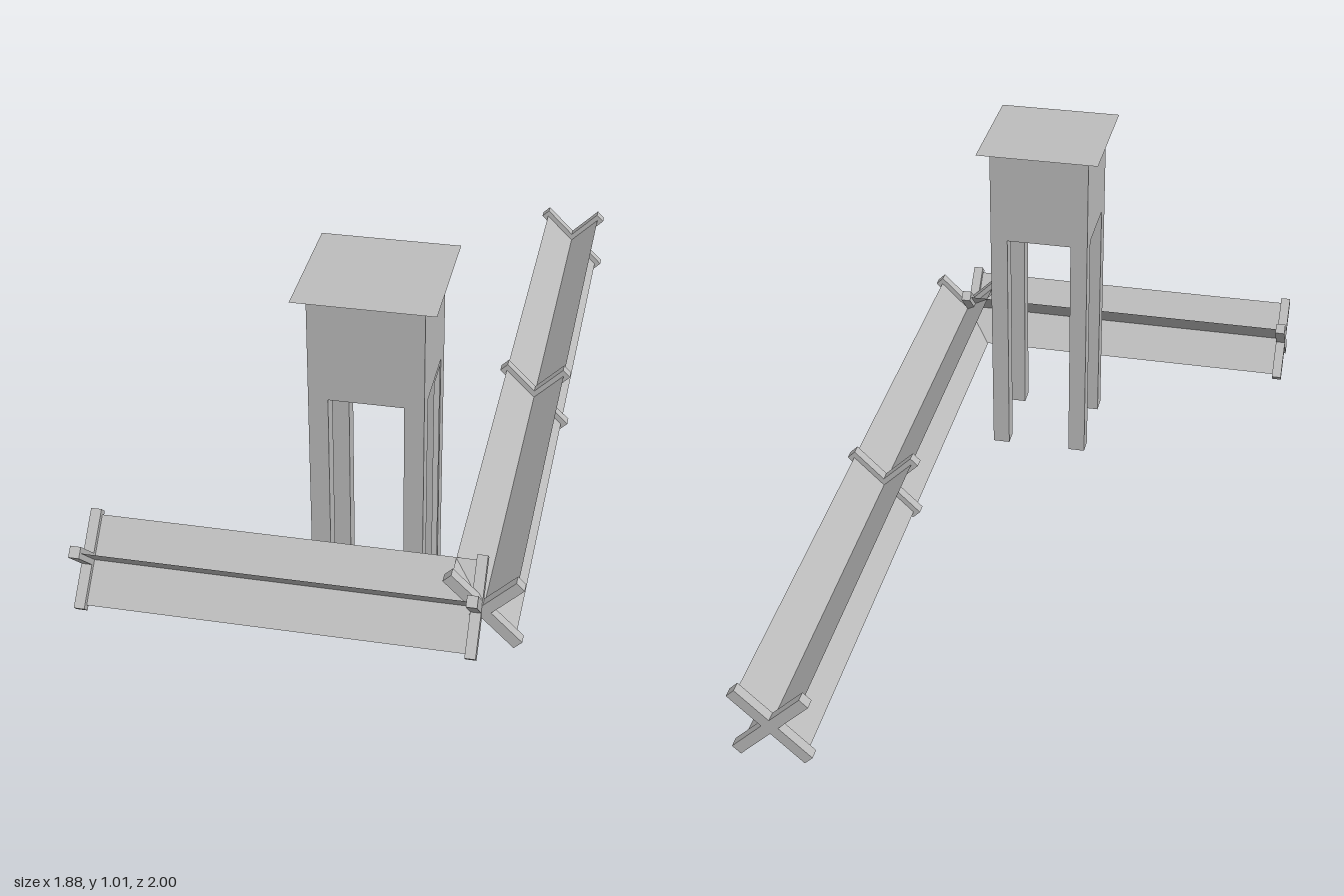
import * as THREE from 'three';

const grey = new THREE.MeshStandardMaterial({ color: 0xbdbdbd, side: THREE.DoubleSide });
grey.name = 'weathered grey';

function add(parent, name, geometry, x = 0, y = 0, z = 0) {
  const mesh = new THREE.Mesh(geometry, grey);
  mesh.name = name;
  mesh.position.set(x, y, z);
  parent.add(mesh);
  return mesh;
}

// Barrier of two crossed sheets held by crossed bars, running from a to b
function barrier(name, a, b, sections) {
  const group = new THREE.Group();
  group.name = name;
  group.position.copy(a);
  group.lookAt(b);
  const length = a.distanceTo(b);
  for (const tilt of [Math.PI / 4, -Math.PI / 4]) {
    const sheet = new THREE.PlaneGeometry(0.236, length).rotateX(-Math.PI / 2).rotateZ(tilt);
    add(group, 'crossedSheet', sheet, 0, 0, length / 2);
    for (let i = 0; i <= sections; i++) {
      const bar = new THREE.BoxGeometry(0.26, 0.03, 0.028).rotateZ(tilt);
      add(group, 'crossBar', bar, 0, 0, (length * i) / sections);
    }
  }
  return group;
}

// Raised cabin on four legs with a flat overhanging roof
function watchtower() {
  const tower = new THREE.Group();
  tower.name = 'watchtower';
  tower.position.set(-0.137, 0, 0.528);
  tower.rotation.y = -0.398;
  add(tower, 'cabin', new THREE.BoxGeometry(0.29, 0.283, 0.29), 0, 0.8615, 0);
  add(tower, 'roof', new THREE.PlaneGeometry(0.356, 0.356).rotateX(-Math.PI / 2), 0, 1.006, 0);
  for (const x of [-0.12, 0.12]) {
    for (const z of [-0.12, 0.12]) {
      add(tower, 'leg', new THREE.BoxGeometry(0.05, 0.72, 0.05), x, 0.36, z);
    }
  }
  // Flat ladder board against one side
  add(tower, 'ladder', new THREE.PlaneGeometry(0.09, 0.715).rotateY(Math.PI / 2), 0.151, 0.3775, 0);
  return tower;
}

export function createModel() {
  const model = new THREE.Group();
  model.name = 'watchtowerWithBarriers';
  const v = (x, y, z) => new THREE.Vector3(x, y, z);
  model.add(
    watchtower(),
    barrier('longBarrier', v(0.055, 0.232, 0.902), v(0.838, 0.222, -0.947), 2),
    barrier('shortBarrier', v(0.04, 0.233, 0.895), v(-0.893, 0.233, 0.503), 1)
  );
  return model;
}
